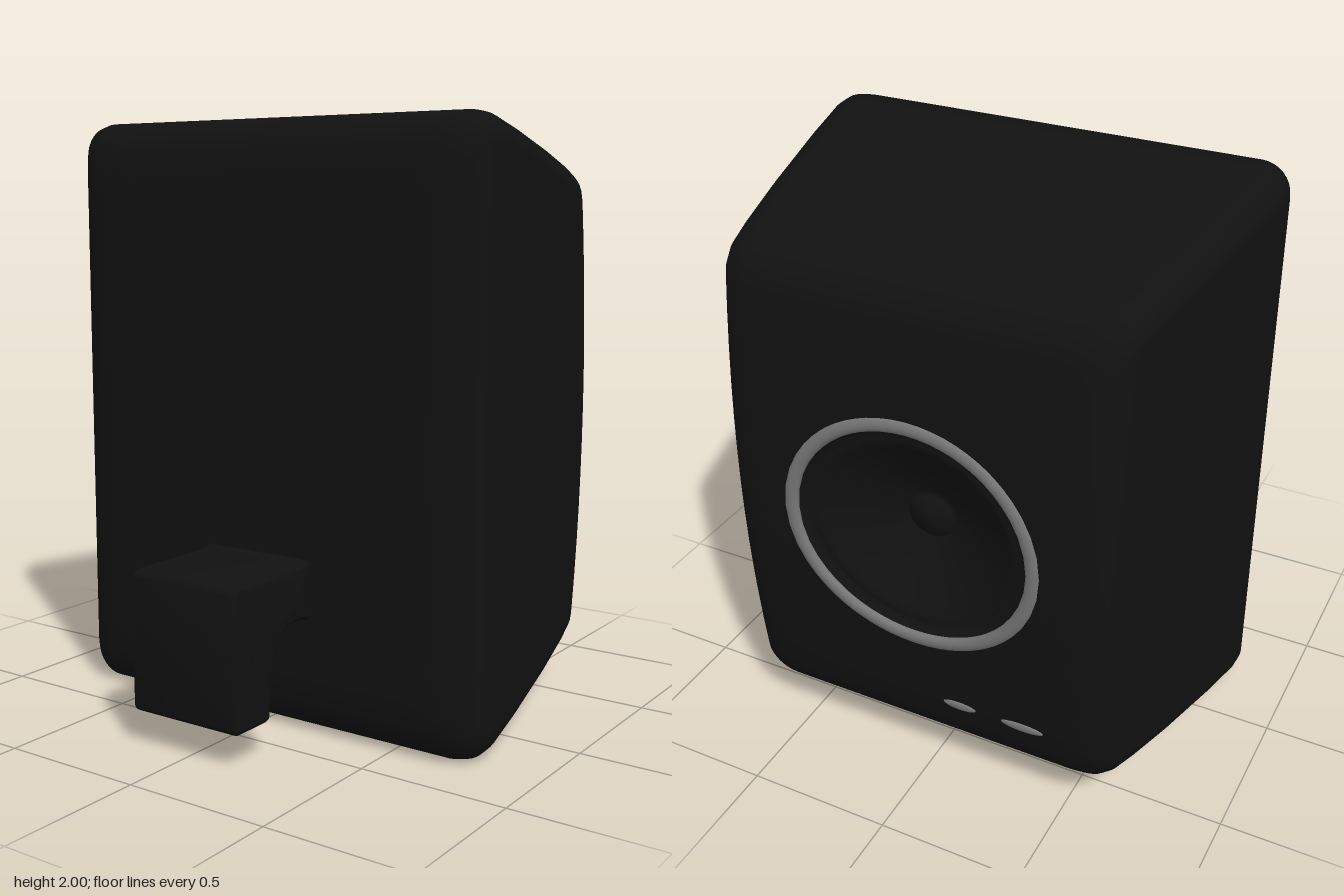
import * as THREE from 'three';
import { toCreasedNormals } from 'three/addons/utils/BufferGeometryUtils.js';

const black = new THREE.MeshStandardMaterial({ color: 0x111111 });
const grey = new THREE.MeshStandardMaterial({ color: 0x777777 });
const MID = 1; // height of the cabinet's centre line

// How far the front panel bows forward at a height, fading out towards the back
const bow = (x, dy) =>
  0.065 * Math.max(0, 1 - (dy / 0.83) ** 2) * THREE.MathUtils.clamp((x + 0.1) / 0.7, 0, 1);

// Rounded rectangle in z/y, with extra points along its straight edges
function roundedLoop(hz, hy, r = 0.1) {
  r = Math.min(r, hz, hy);
  const arc = 8, edge = 12, loop = [];
  const corners = [[1, 1], [-1, 1], [-1, -1], [1, -1]];
  const at = (c, a) => [
    corners[c][0] * (hz - r) + r * Math.cos(a),
    corners[c][1] * (hy - r) + r * Math.sin(a),
  ];
  for (let c = 0; c < 4; c++) {
    const start = c * Math.PI / 2, end = start + Math.PI / 2;
    for (let i = 0; i < arc; i++) loop.push(at(c, start + (end - start) * i / arc));
    const p = at(c, end), q = at((c + 1) % 4, end);
    for (let i = 0; i < edge; i++) {
      const t = i / edge;
      loop.push([p[0] + (q[0] - p[0]) * t, p[1] + (q[1] - p[1]) * t]);
    }
  }
  return loop;
}

const panelLoop = roundedLoop(0.55, 0.72);

// Ellipse whose points line up with those of the panel loop
const ellipseLoop = (rz, ry) => panelLoop.map(([z, y]) => {
  const a = Math.atan2(y, z);
  return [rz * Math.cos(a), ry * Math.sin(a)];
});

// Skin joining rows of { x, loop }, bowed with the front panel
function loft(rows, material, name) {
  const positions = [], index = [], n = panelLoop.length;
  for (const { x, loop } of rows)
    for (const [z, y] of loop) positions.push(x + bow(x, y), MID + y, z);
  for (let r = 0; r < rows.length - 1; r++) {
    for (let i = 0; i < n; i++) {
      const a = r * n + i, b = r * n + (i + 1) % n;
      index.push(a, a + n, b, b, a + n, b + n);
    }
  }
  const geometry = new THREE.BufferGeometry();
  geometry.setAttribute('position', new THREE.Float32BufferAttribute(positions, 3));
  geometry.setIndex(index);
  geometry.computeVertexNormals();
  const mesh = new THREE.Mesh(geometry, material);
  mesh.name = name;
  return mesh;
}

// Tapered cabinet: x, half height, half depth from the back to the front edge
function cabinet() {
  const rows = [
    [-0.37, 0, 0], [-0.37, 0.4, 0.3], [-0.37, 0.8, 0.62], [-0.362, 0.89, 0.705],
    [-0.34, 0.95, 0.76], [-0.3, 0.987, 0.796], [-0.25, 1, 0.81], [-0.19, 0.998, 0.808],
    [0, 0.966, 0.782], [0.3, 0.91, 0.735], [0.5, 0.872, 0.697], [0.6, 0.85, 0.674],
    [0.64, 0.832, 0.657], [0.67, 0.8, 0.63], [0.685, 0.76, 0.59], [0.69, 0.72, 0.55],
  ].map(([x, hy, hz]) => ({ x, loop: roundedLoop(hz, hy) }));
  // front panel blends from the rectangle to the round opening
  const hole = ellipseLoop(0.42, 0.39);
  for (let t = 0.2; t < 1.01; t += 0.2) {
    rows.push({
      x: 0.69,
      loop: panelLoop.map(([z, y], i) => [
        z + (hole[i][0] - z) * t, y + (hole[i][1] - y) * t,
      ]),
    });
  }
  return loft(rows, black, 'cabinet');
}

// Recessed cone with its surround and domed centre cap
function speakerCone() {
  const profile = [
    [0.42, 0], [0.395, -0.015], [0.385, -0.035], [0.36, -0.03], [0.335, -0.035],
    [0.32, -0.05], [0.2, -0.11], [0.09, -0.16], [0.08, -0.145], [0.05, -0.13], [0, -0.123],
  ];
  return loft(profile.map(([r, d]) => ({
    x: 0.69 + d, loop: ellipseLoop(r, r * 0.93),
  })), black, 'speakerCone');
}

// Slim ring around the cone
function trimRing() {
  const rows = [], steps = 12;
  for (let i = 0; i <= steps; i++) {
    const a = i / steps * Math.PI * 2, w = 0.025 * Math.cos(a);
    rows.push({ x: 0.683 + 0.016 * Math.sin(a), loop: ellipseLoop(0.425 + w, 0.395 + w) });
  }
  return loft(rows, grey, 'trimRing');
}

// Hooked bracket at the back
function bracket() {
  const bevel = 0.015, depth = 0.42;
  const s = new THREE.Shape();
  s.moveTo(-0.34, 0.58);
  s.lineTo(-0.37, 0.574);
  s.quadraticCurveTo(-0.385, 0.565, -0.42, 0.565);
  s.lineTo(-0.73, 0.565);
  s.quadraticCurveTo(-0.742, 0.565, -0.742, 0.55);
  s.lineTo(-0.742, 0.14);
  s.quadraticCurveTo(-0.742, 0.128, -0.73, 0.128);
  s.lineTo(-0.6, 0.128);
  s.quadraticCurveTo(-0.59, 0.128, -0.59, 0.14);
  s.bezierCurveTo(-0.58, 0.34, -0.56, 0.415, -0.43, 0.415);
  s.quadraticCurveTo(-0.39, 0.415, -0.37, 0.405);
  s.lineTo(-0.34, 0.4);
  const geometry = new THREE.ExtrudeGeometry(s, {
    depth: depth - 2 * bevel, bevelThickness: bevel, bevelSize: bevel,
    bevelSegments: 3, curveSegments: 10,
  });
  geometry.translate(0, 0, bevel - depth / 2);
  const mesh = new THREE.Mesh(toCreasedNormals(geometry, 0.7), black);
  mesh.name = 'bracket';
  return mesh;
}

export function createModel() {
  const model = new THREE.Group();
  model.name = 'speaker';
  model.add(cabinet(), speakerCone(), trimRing(), bracket());

  // Two oval buttons below the ring: z position and half width
  [[-0.145, 0.06], [-0.373, 0.076]].forEach(([z, w], i) => {
    const button = new THREE.Mesh(new THREE.SphereGeometry(1, 24, 16), grey);
    button.name = `button${i + 1}`;
    button.scale.set(0.008, 0.017, w);
    button.position.set(0.69 + bow(0.69, -0.65), 0.35, z);
    button.rotation.z = -0.12;
    model.add(button);
  });
  return model;
}
